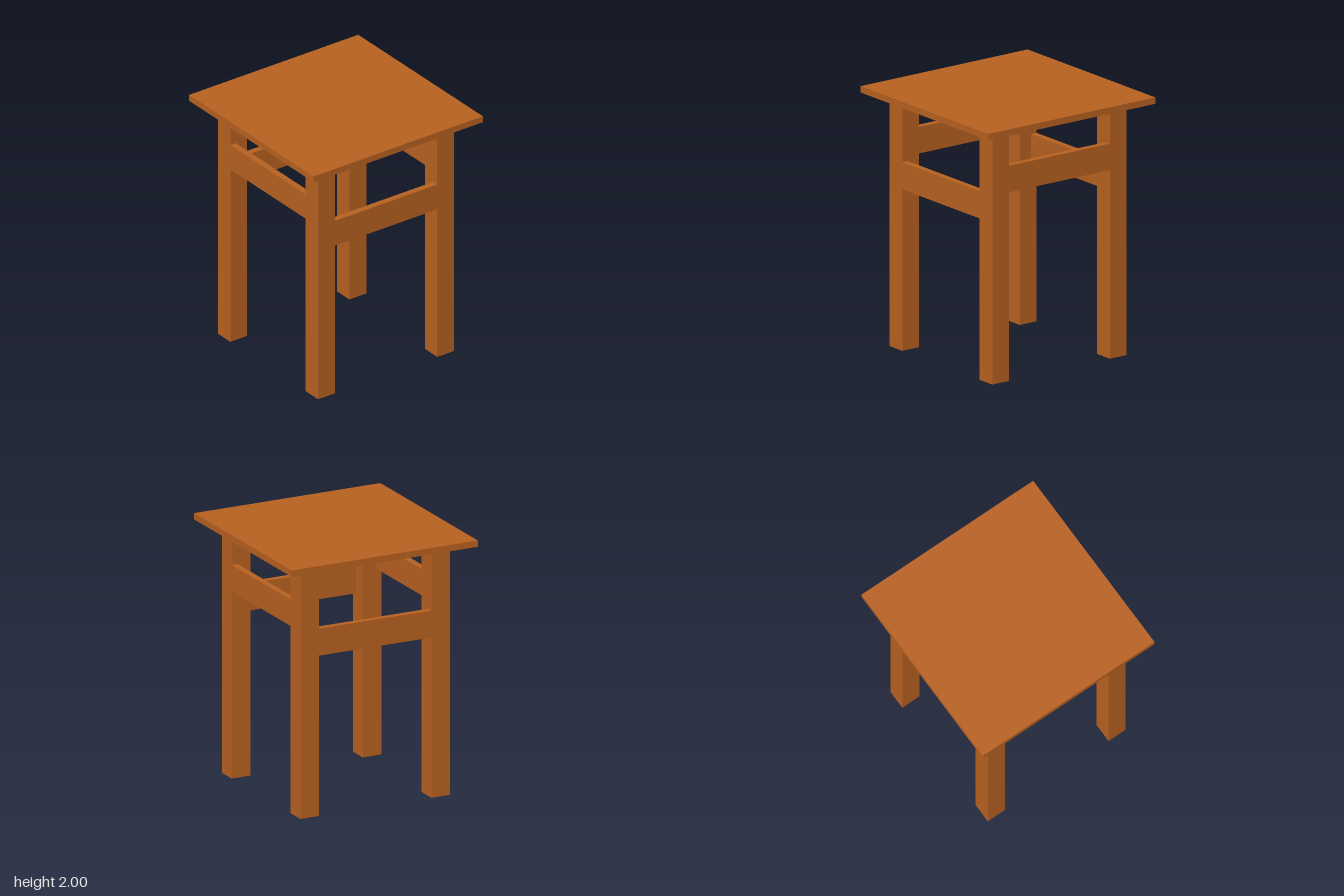
import * as THREE from 'three';

export function createModel() {
  const group = new THREE.Group();
  const wood = new THREE.MeshStandardMaterial({ color: 0xb86120 });
  wood.name = 'warm wood';

  const OUTER = 0.625, LEG = 0.155, RAIL = 0.05, TOP = 0.05;
  const SPAN = 2 * (OUTER - LEG);

  // Box standing on height y0
  function addBox(name, w, h, d, x, y0, z) {
    const mesh = new THREE.Mesh(new THREE.BoxGeometry(w, h, d), wood);
    mesh.name = name;
    mesh.position.set(x, y0 + h / 2, z);
    group.add(mesh);
  }

  // Seat board
  addBox('seat', 1.555, TOP, 1.555, 0, 2 - TOP, 0);

  // Four square legs
  const legPos = OUTER - LEG / 2;
  for (const [sz, end] of [[1, 'front'], [-1, 'back']]) {
    for (const [sx, side] of [[1, 'Left'], [-1, 'Right']]) {
      addBox(`${end}${side}Leg`, LEG, 2 - TOP, LEG, sx * legPos, 0, sz * legPos);
    }
  }

  // Rails flush with the outer leg faces: front and back high, sides lower
  const railPos = OUTER - RAIL / 2;
  for (const s of [1, -1]) {
    addBox(s > 0 ? 'frontRail' : 'backRail', SPAN, 0.205, RAIL, 0, 1.457, s * railPos);
    addBox(s > 0 ? 'leftRail' : 'rightRail', RAIL, 0.21, SPAN, s * railPos, 1.247, 0);
  }
  return group;
}
